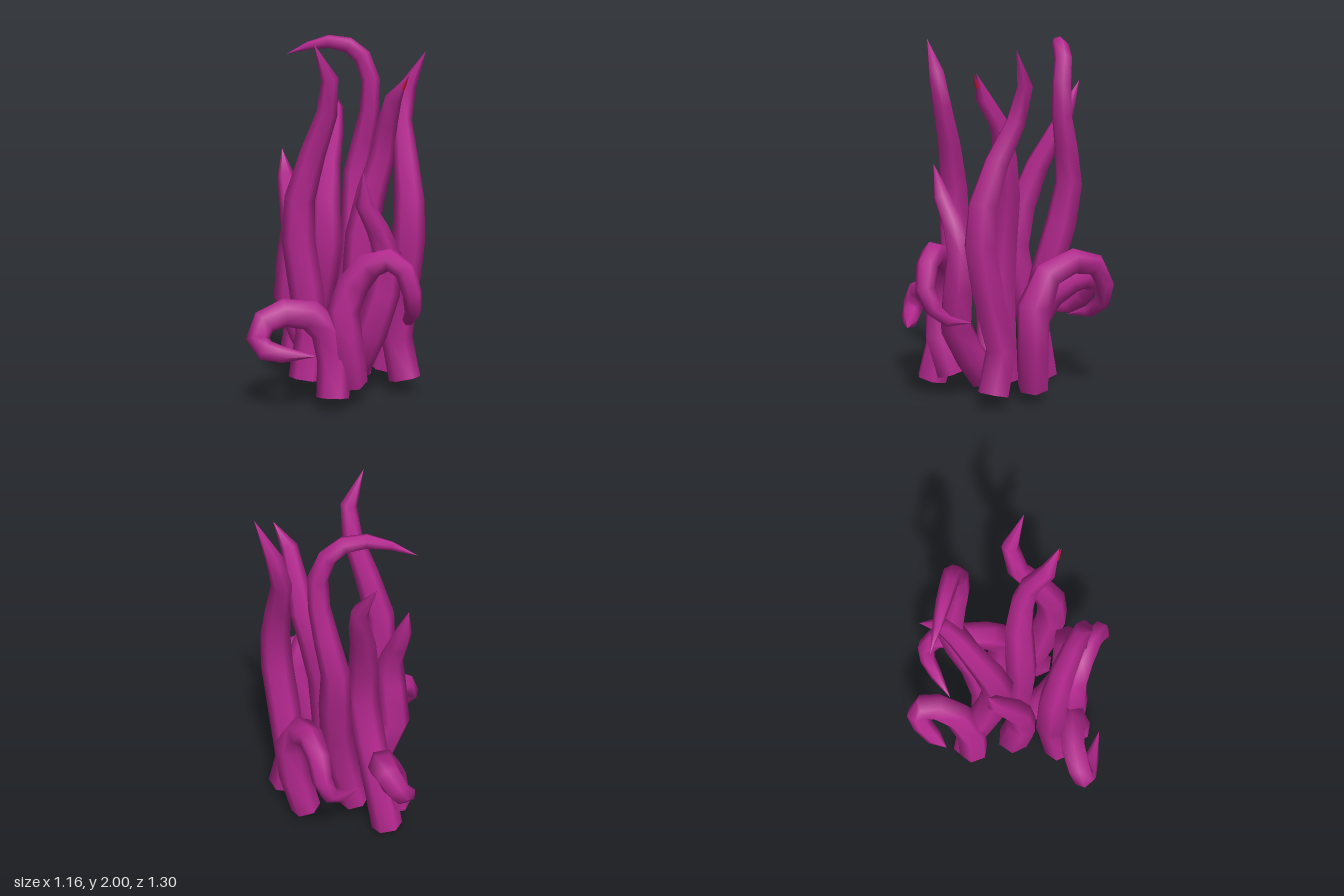
import * as THREE from 'three';

const SIDES = 6;
const skin = new THREE.MeshStandardMaterial({ color: 0xb4288f });
skin.name = 'magenta skin';
const flesh = new THREE.MeshStandardMaterial({ color: 0xc8103c });
flesh.name = 'red flesh';

// Radius along the length, from base to tip
const STALK = [0.09, 0.09, 0.094, 0.092, 0.083, 0.069, 0.056, 0.046, 0];
const HOOK = [0.085, 0.09, 0.088, 0.072, 0.057, 0.052, 0.045, 0.035, 0];
const CURL = [0.088, 0.092, 0.09, 0.079, 0.066, 0.057, 0.049, 0.041, 0];
const FAT_CURL = [0.09, 0.092, 0.09, 0.082, 0.074, 0.067, 0.06, 0.05, 0];

// Centre lines, base first
const tentacles = {
  hookedStalk: [HOOK, [[-0.17, 0.16, -0.18], [-0.11, 0.42, -0.21], [-0.1, 0.7, -0.28], [-0.13, 0.98, -0.355],
    [-0.15, 1.2, -0.39], [-0.1, 1.4, -0.39], [-0.055, 1.58, -0.38], [-0.05, 1.75, -0.38],
    [-0.1, 1.88, -0.37], [-0.17, 1.945, -0.33], [-0.27, 1.965, -0.28], [-0.38, 1.94, -0.23], [-0.5, 1.89, -0.18]]],
  frontStalk: [STALK, [[-0.055, 0.15, 0.32], [-0.045, 0.4, 0.26], [-0.08, 0.65, 0.265], [-0.11, 0.92, 0.29],
    [-0.1, 1.15, 0.29], [-0.02, 1.4, 0.28], [0.07, 1.62, 0.28], [0.1, 1.8, 0.3], [0.05, 1.99, 0.38]]],
  leftStalk: [STALK, [[0.325, 0.085, -0.135], [0.26, 0.32, -0.155], [0.32, 0.62, -0.105], [0.37, 0.9, -0.08],
    [0.365, 1.12, -0.095], [0.31, 1.34, -0.15], [0.24, 1.55, -0.23], [0.25, 1.74, -0.285], [0.36, 1.93, -0.28]]],
  middleStalk: [STALK, [[0.035, 0.09, -0.075], [0.055, 0.35, -0.07], [0.06, 0.62, -0.06], [0.07, 0.9, -0.08],
    [0.11, 1.15, -0.12], [0.17, 1.36, -0.14], [0.21, 1.54, -0.12], [0.28, 1.68, -0.06], [0.37, 1.81, -0.06]]],
  rightStalk: [STALK, [[-0.37, 0.025, -0.16], [-0.31, 0.28, -0.14], [-0.21, 0.57, -0.08], [-0.155, 0.83, -0.06],
    [-0.18, 1.06, -0.1], [-0.21, 1.28, -0.18], [-0.23, 1.45, -0.27], [-0.26, 1.58, -0.33], [-0.37, 1.76, -0.37]]],
  shortRightStalk: [STALK, [[-0.1, 0.15, 0.06], [-0.2, 0.34, 0.1], [-0.27, 0.56, 0.14], [-0.23, 0.8, 0.17],
    [-0.23, 0.96, 0.15], [-0.29, 1.11, 0.11], [-0.335, 1.23, 0.075], [-0.37, 1.38, 0.06]]],
  shortLeftStalk: [STALK, [[0.06, 0.1, 0.03], [0.15, 0.24, 0.08], [0.25, 0.42, 0.12], [0.31, 0.64, 0.08],
    [0.32, 0.84, 0.06], [0.285, 1.0, 0.12], [0.25, 1.14, 0.2], [0.27, 1.32, 0.24]]],
  leftCurl: [CURL, [[0.17, 0.13, 0.19], [0.18, 0.34, 0.25], [0.15, 0.55, 0.25], [0.2, 0.7, 0.22],
    [0.29, 0.81, 0.2], [0.4, 0.85, 0.18], [0.49, 0.8, 0.175], [0.53, 0.68, 0.17],
    [0.515, 0.57, 0.13], [0.455, 0.5, 0.07], [0.37, 0.48, -0.03]]],
  frontCurl: [FAT_CURL, [[0.13, 0.075, 0.325], [0.11, 0.27, 0.28], [0.075, 0.44, 0.295], [0.01, 0.53, 0.36],
    [-0.1, 0.55, 0.45], [-0.165, 0.51, 0.545], [-0.175, 0.43, 0.59], [-0.13, 0.37, 0.585],
    [-0.04, 0.35, 0.55], [0.13, 0.35, 0.48]]],
  rightCurl: [FAT_CURL, [[-0.39, 0.145, -0.085], [-0.36, 0.36, -0.11], [-0.36, 0.52, -0.21], [-0.41, 0.6, -0.32],
    [-0.465, 0.61, -0.385], [-0.505, 0.56, -0.395], [-0.525, 0.48, -0.35], [-0.53, 0.41, -0.26], [-0.525, 0.37, -0.17]]],
  backCurl: [CURL, [[0.1, 0.08, -0.28], [0.155, 0.32, -0.3], [0.175, 0.55, -0.305], [0.085, 0.71, -0.35],
    [-0.04, 0.78, -0.465], [-0.13, 0.75, -0.56], [-0.17, 0.64, -0.6], [-0.2, 0.53, -0.575],
    [-0.23, 0.46, -0.49], [-0.28, 0.42, -0.34]]],
};

// Radius profile sampled at t from 0 to 1
function sample(profile, t) {
  const f = t * (profile.length - 1);
  const i = Math.min(Math.floor(f), profile.length - 2);
  return THREE.MathUtils.lerp(profile[i], profile[i + 1], f - i);
}

// Skin joining rings of SIDES points
function loft(rings) {
  const index = [];
  for (let i = 0; i < rings.length - 1; i++) {
    for (let j = 0; j < SIDES; j++) {
      const k = (j + 1) % SIDES;
      const a = i * SIDES + j, b = i * SIDES + k;
      index.push(a, b, a + SIDES, b, b + SIDES, a + SIDES);
    }
  }
  const geometry = new THREE.BufferGeometry().setFromPoints(rings.flat());
  geometry.setIndex(index);
  geometry.computeVertexNormals();
  return geometry;
}

function makeTentacle(name, profile, path) {
  const points = path.map((p) => new THREE.Vector3(...p));
  const last = points.length - 1;
  const normal = new THREE.Vector3(0, 0, 1);
  const ring = (centre, tangent, radius) => {
    const side = new THREE.Vector3().crossVectors(tangent, normal);
    return Array.from({ length: SIDES }, (_, j) => {
      const a = (j / SIDES) * Math.PI * 2;
      return centre.clone().addScaledVector(normal, Math.cos(a) * radius)
        .addScaledVector(side, Math.sin(a) * radius);
    });
  };
  let hole, lip;
  const body = points.map((p, i) => {
    // Carry the ring direction along the path without twist
    const tangent = points[Math.min(i + 1, last)].clone().sub(points[Math.max(i - 1, 0)]).normalize();
    normal.addScaledVector(tangent, -normal.dot(tangent)).normalize();
    const radius = sample(profile, i / last);
    if (i === 0) {
      const deep = p.clone().addScaledVector(tangent, 0.03);
      lip = ring(p, tangent, radius * 0.72);
      hole = [ring(deep, tangent, 0), ring(deep, tangent, radius * 0.68), lip];
    }
    return ring(p, tangent, radius);
  });
  const group = new THREE.Group();
  group.name = name;
  const add = (part, geometry, material) => {
    const mesh = new THREE.Mesh(geometry, material);
    mesh.name = part;
    group.add(mesh);
  };
  add('tentacleSkin', loft(body), skin);
  add('baseRim', loft([lip, body[0]]), skin);
  add('baseHollow', loft(hole), flesh);
  return group;
}

export function createModel() {
  const model = new THREE.Group();
  model.name = 'tentacleCluster';
  for (const [name, [profile, path]] of Object.entries(tentacles)) {
    model.add(makeTentacle(name, profile, path));
  }
  // Sliver of red flesh showing at the tip of the middle stalk
  const sliver = new THREE.Mesh(new THREE.ConeGeometry(0.014, 0.08, 4), flesh);
  sliver.name = 'tipFlesh';
  sliver.position.set(0.36, 1.772, -0.052);
  sliver.rotation.z = -0.5;
  model.add(sliver);
  return model;
}
